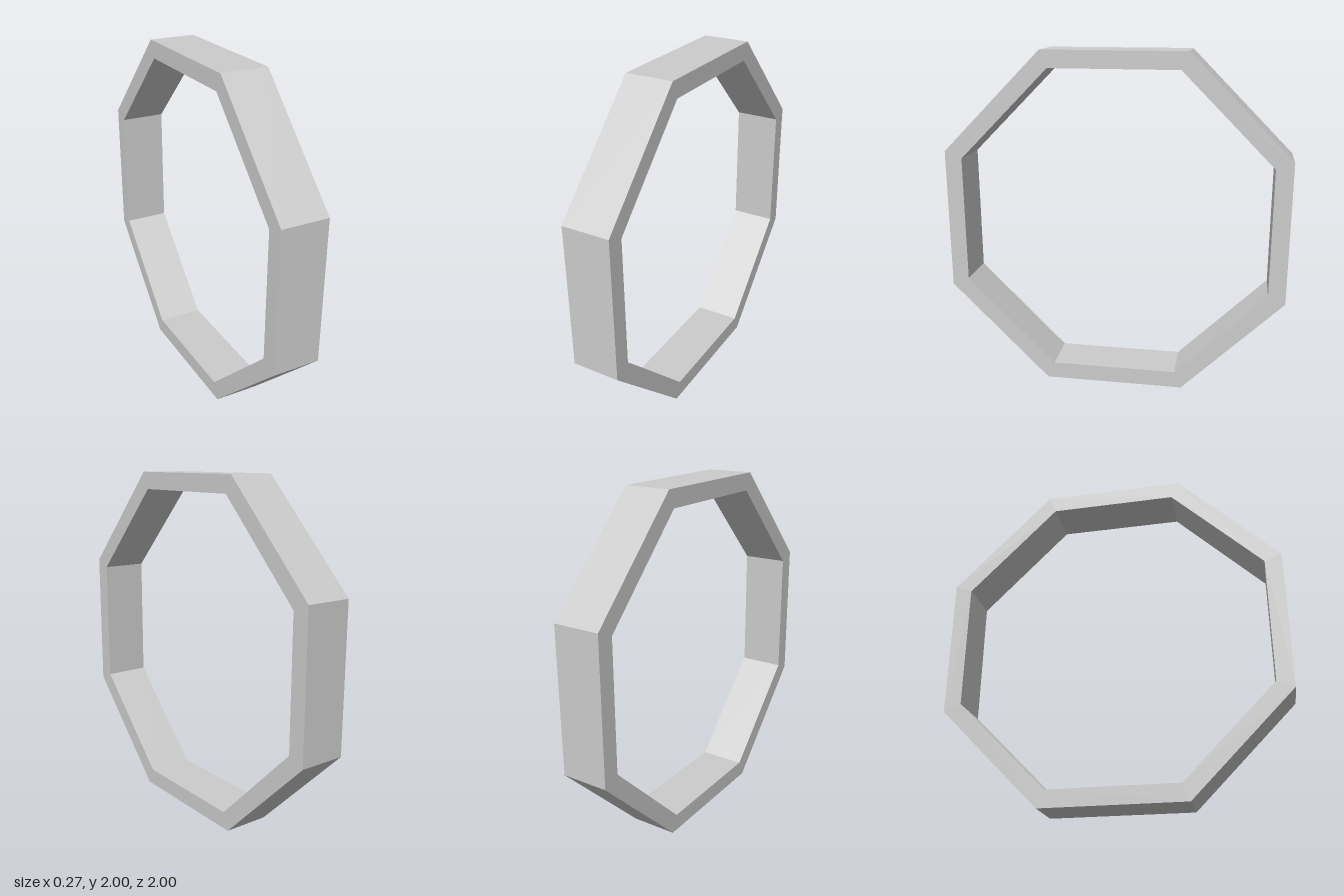
import * as THREE from 'three';

const SIDES = 8;
const WIDTH = 0.272;

// Corners of a flat-bottomed regular polygon, given the distance to its sides
function polygon(apothem) {
  const radius = apothem / Math.cos(Math.PI / SIDES);
  return Array.from({ length: SIDES }, (_, i) => {
    const a = ((i + 0.5) / SIDES) * Math.PI * 2;
    return new THREE.Vector2(Math.cos(a) * radius, Math.sin(a) * radius);
  });
}

export function createModel() {
  const group = new THREE.Group();
  group.name = 'octagonalRing';

  // Octagonal band with an octagonal opening, extruded along its axis
  const shape = new THREE.Shape(polygon(1));
  shape.holes.push(new THREE.Path(polygon(0.9).reverse()));
  const geometry = new THREE.ExtrudeGeometry(shape, { depth: WIDTH, bevelEnabled: false });
  geometry.translate(0, 0, -WIDTH / 2);
  geometry.rotateY(Math.PI / 2);
  geometry.translate(0, 1, 0);

  const material = new THREE.MeshStandardMaterial({ color: 0xcccccc, flatShading: true });
  const ring = new THREE.Mesh(geometry, material);
  ring.name = 'ringBand';
  group.add(ring);
  return group;
}
